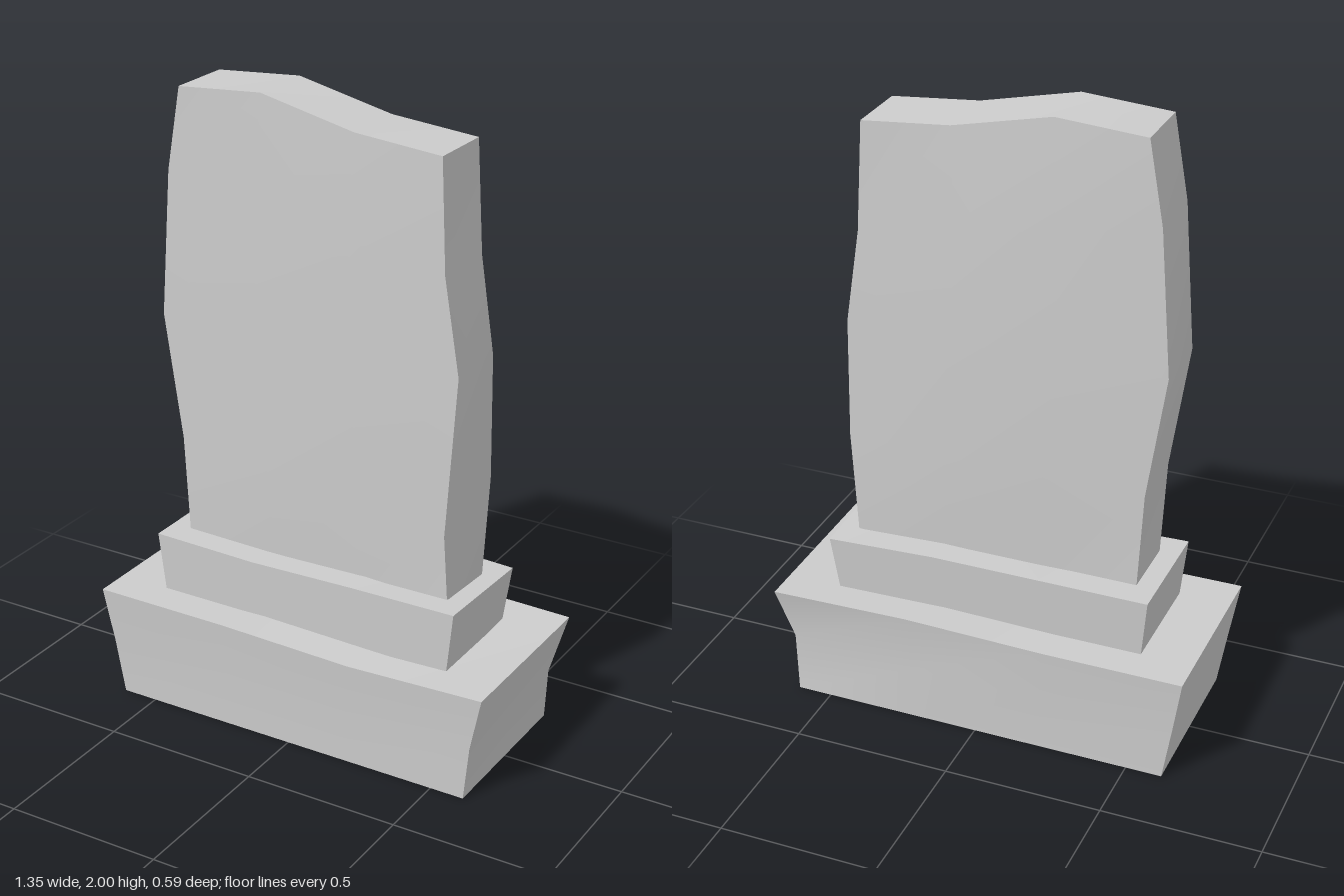
import * as THREE from 'three';

const lerp = THREE.MathUtils.lerp;

// A block of 3 columns and `rows` rows; rule(col, row, u, front) returns each corner's x, y, z
function block(name, rows, rule) {
  const geo = new THREE.BoxGeometry(1, 1, 1, 3, rows, 1);
  const p = geo.attributes.position;
  for (let i = 0; i < p.count; i++) {
    const u = p.getX(i) + 0.5;
    const col = Math.round(u * 3);
    const row = Math.round((p.getY(i) + 0.5) * rows);
    p.setXYZ(i, ...rule(col, row, u, p.getZ(i) > 0));
  }
  geo.computeVertexNormals(); // smooth within a side, sharp between sides
  const mesh = new THREE.Mesh(geo, new THREE.MeshStandardMaterial({ color: 0xcccccc }));
  mesh.name = name;
  return mesh;
}

// Flared bottom plinth with a chipped back corner
function plinth() {
  const left = [-0.615, -0.645, -0.675], right = [0.61, 0.63, 0.672];
  const depth = [0.275, 0.28, 0.295], height = [0, 0.18, 0.36];
  const frontTop = [0.36, 0.358, 0.345, 0.36], backTop = [0.36, 0.36, 0.37, 0.36];
  return block('plinth', 2, (c, r, u, front) => {
    const y = r === 2 ? (front ? frontTop : backTop)[c] : height[r];
    let z = front ? depth[r] : -depth[r];
    if (!front && r === 1 && c === 3) z = -0.25;
    return [lerp(left[r], right[r], u), y, z];
  });
}

// Narrower step between plinth and slab
function step() {
  const frontTop = [0.55, 0.541, 0.548, 0.55], backTop = [0.55, 0.55, 0.55, 0.535];
  return block('step', 1, (c, r, u, front) => {
    const x = r ? lerp(-0.527, 0.52, u) : lerp(-0.505, 0.495, u);
    const y = r ? (front ? frontTop : backTop)[c] : 0.34;
    const z = front ? (r ? 0.19 : 0.182) : (r ? -0.197 : -0.182);
    return [x, y, z];
  });
}

// Upright weathered slab with wavy sides and a sloping top
function slab() {
  const left = [-0.46, -0.478, -0.538, -0.505, -0.46];
  const rightFront = [0.455, 0.44, 0.475, 0.425, 0.41];
  const rightBack = [0.46, 0.48, 0.475, 0.43, 0.41];
  const rowsLeft = [0.53, 0.86, 1.26, 1.72, 1.98];
  const rowsFront = [0.53, 0.75, 1.26, 1.56, 1.905];
  const rowsBack = [0.53, 0.87, 1.26, 1.56, 1.905];
  const top = [1.98, 2.0, 1.93, 1.905], topX = [-0.46, -0.18, 0.13, 0.41];
  return block('slab', 4, (c, r, u, front) => {
    const x = r === 4 ? topX[c] : lerp(left[r], (front ? rightFront : rightBack)[r], u);
    const y = r === 4 ? top[c] : lerp(rowsLeft[r], (front ? rowsFront : rowsBack)[r], u);
    // faces swell slightly towards the middle
    const inner = (c === 1 || c === 2) && r > 0 && r < 4;
    const z = front ? 0.106 + (inner ? 0.011 : 0) : -0.108 - (inner ? 0.016 : 0);
    return [x, y, z];
  });
}

export function createModel() {
  const group = new THREE.Group();
  group.name = 'gravestone';
  group.add(plinth(), step(), slab());
  return group;
}
